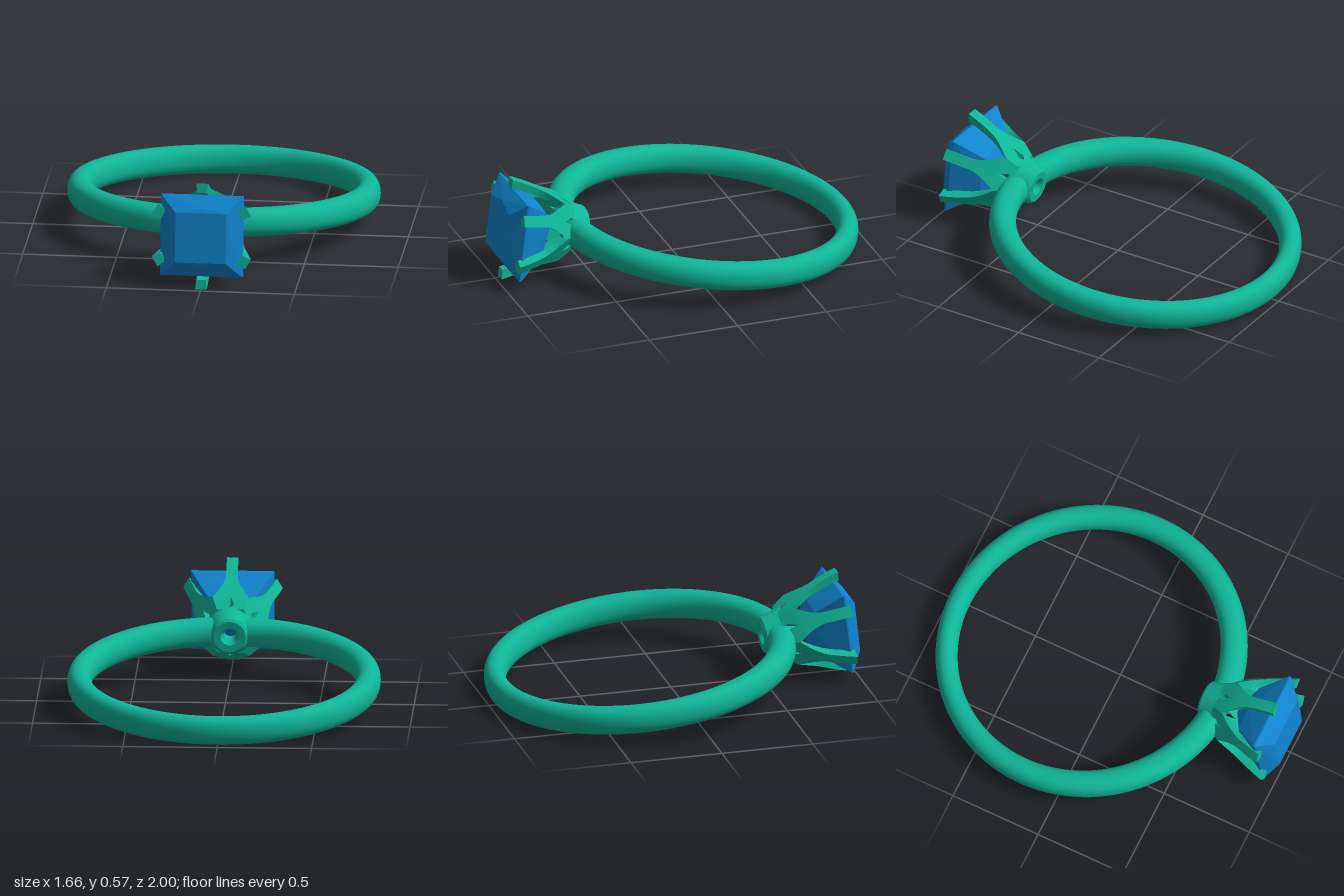
import * as THREE from 'three';
import { toCreasedNormals } from 'three/addons/utils/BufferGeometryUtils.js';
import { ParametricGeometry } from 'three/addons/geometries/ParametricGeometry.js';
import { ConvexGeometry } from 'three/addons/geometries/ConvexGeometry.js';

const metal = new THREE.MeshStandardMaterial({ color: 0x10b597, side: THREE.DoubleSide });
const blue = new THREE.MeshStandardMaterial({ color: 0x1083cc });
const { lerp, clamp, smoothstep } = THREE.MathUtils;

function part(name, geometry, material) {
  const mesh = new THREE.Mesh(geometry, material);
  mesh.name = name;
  return mesh;
}

// Band: oval section, a little thicker towards the head, open inside the collar
function bandGeometry() {
  const gap = 0.075;
  return new ParametricGeometry((u, v, target) => {
    const a = lerp(gap, 2 * Math.PI - gap, u);
    const p = v * 2 * Math.PI;
    const inner = 0.7 - 0.015 * Math.cos(a);
    const half = (0.83 - inner) / 2;
    const c = Math.cos(p), s = Math.sin(p);
    const r = 0.83 - half + half * Math.sign(c) * Math.abs(c) ** 0.9;
    target.set(r * Math.sin(a), 0.077 * Math.sign(s) * Math.abs(s) ** 0.9, r * Math.cos(a));
  }, 128, 32);
}

// Collar: flared socket with a countersunk hole, turned around the z axis
function collarGeometry() {
  const profile = [
    [0.032, 0.7], [0.048, 0.672], [0.085, 0.67], [0.1, 0.682], [0.108, 0.71],
    [0.13, 0.775], [0.08, 0.78], [0.032, 0.775], [0.032, 0.7],
  ].map(([r, y]) => new THREE.Vector2(r, y));
  const g = new THREE.LatheGeometry(profile, 48);
  g.rotateX(Math.PI / 2);
  return toCreasedNormals(g, 0.6);
}

// Outer edge of the claws: x = distance along the head axis, y = radius
const clawEdge = new THREE.SplineCurve([
  [0.765, 0.122], [0.85, 0.173], [0.95, 0.222], [1.05, 0.264], [1.118, 0.287],
].map(([w, r]) => new THREE.Vector2(w, r)));

// Half a claw: a bar that flares into an arch at its foot, with a small window
function clawHalf(side) {
  const g = new THREE.BoxGeometry(1, 1, 1, 2, 1, 28);
  const pos = g.attributes.position;
  for (let i = 0; i < pos.count; i++) {
    const t = clamp(pos.getZ(i) + 0.5, 0, 1);
    const { x: w, y: outerR } = clawEdge.getPoint(t);
    const r = outerR - lerp(0.04, 0.052, t) * (0.5 - pos.getY(i));
    const foot = (1 - clamp((w - 0.835) / 0.15, 0, 1)) ** 2.2;
    const outer = lerp(0.031, outerR * Math.tan(Math.PI / 6), foot);
    const inner = 0.02 * smoothstep(w, 0.775, 0.79) * (1 - clamp((w - 0.79) / 0.05, 0, 1));
    const k = pos.getX(i) + 0.5;
    const x = side > 0 ? lerp(inner, outer, k) : lerp(-outer, -inner, k);
    pos.setXYZ(i, x * r / outerR, r, w);
  }
  return toCreasedNormals(g, 0.7);
}

// Gem: square cut with bevelled crown, thin girdle and stepped pavilion
function gemGeometry() {
  const pts = [new THREE.Vector3(0, 0, 0.862)];
  const corners = [[0.135, 1.165], [0.22, 1.096], [0.22, 1.088], [0.125, 0.945]];
  const middles = [[0.16, 1.153], [0.135, 0.945]];
  for (let q = 0; q < 4; q++) {
    const a = q * Math.PI / 2, z = new THREE.Vector3(0, 0, 1);
    for (const [h, w] of corners) pts.push(new THREE.Vector3(h, h, w).applyAxisAngle(z, a));
    for (const [h, w] of middles) pts.push(new THREE.Vector3(h, 0, w).applyAxisAngle(z, a));
  }
  return new ConvexGeometry(pts);
}

export function createModel() {
  const ring = new THREE.Group();
  ring.name = 'ring';
  ring.add(part('band', bandGeometry(), metal));
  ring.add(part('collar', collarGeometry(), metal));
  ring.add(part('gem', gemGeometry(), blue));

  // Six claws around the head
  const halves = [clawHalf(-1), clawHalf(1)];
  for (let i = 0; i < 6; i++) {
    const claw = new THREE.Group();
    claw.name = 'claw';
    for (const g of halves) claw.add(part('clawHalf', g, metal));
    claw.rotation.z = i * Math.PI / 3;
    ring.add(claw);
  }

  // Resting tilt: the head sits higher than the back of the band
  ring.position.set(0, 0.165, -0.17);
  ring.rotation.x = -0.11;
  const model = new THREE.Group();
  model.name = 'gemRing';
  model.add(ring);
  return model;
}
